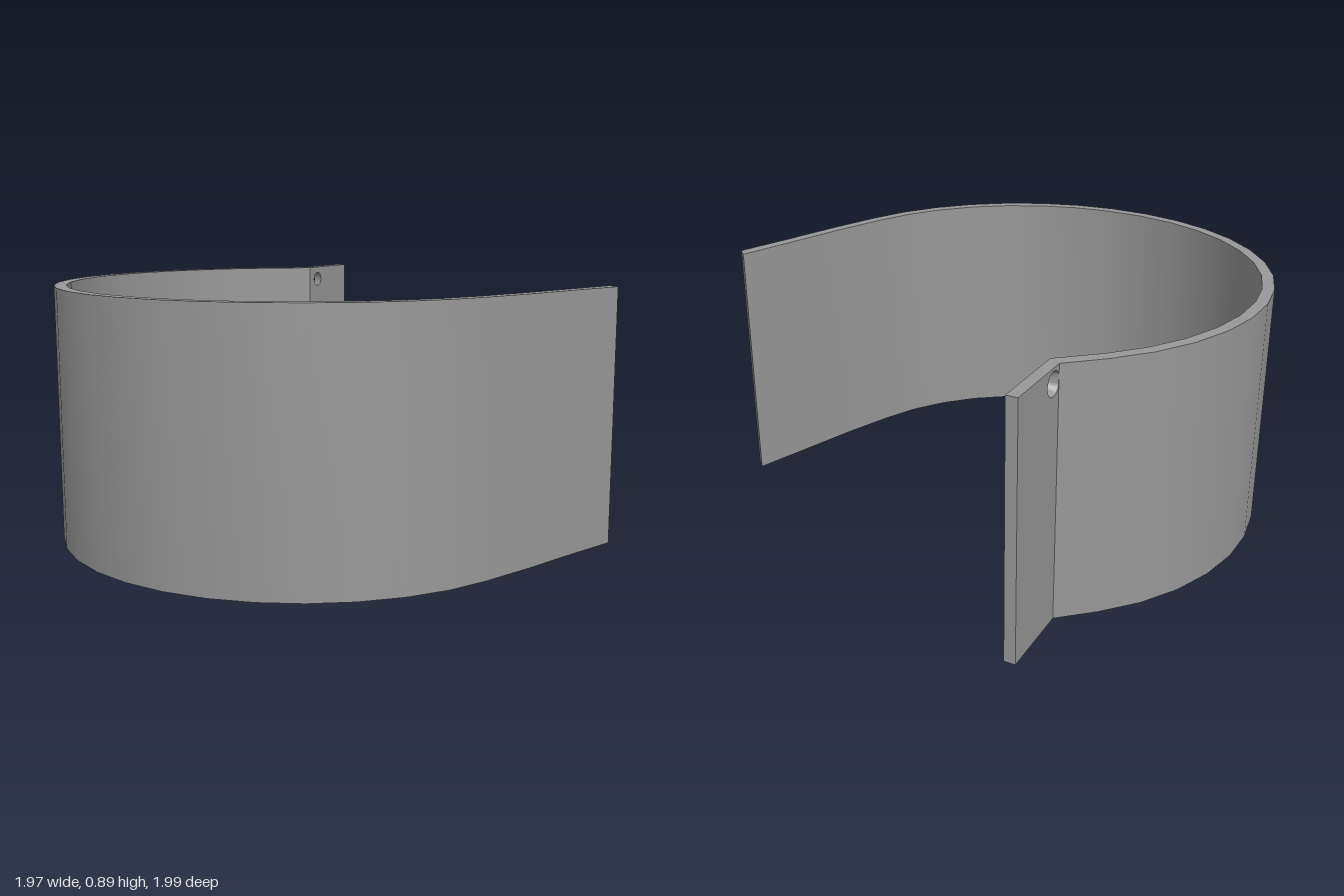
import * as THREE from 'three';
import { toCreasedNormals } from 'three/addons/utils/BufferGeometryUtils.js';

const HEIGHT = 0.895;
const THICK = 0.04;

export function createModel() {
  const group = new THREE.Group();
  const material = new THREE.MeshStandardMaterial({ color: 0x989898 });
  const add = (name, geometry) => {
    const mesh = new THREE.Mesh(toCreasedNormals(geometry, 0.35), material);
    mesh.name = name;
    group.add(mesh);
    return mesh;
  };

  // Curved band: a 22-step arc with a gently bowed free end (plan is x, z)
  const arc = (radius) => {
    const points = [];
    for (let i = 0; i < 22; i++) {
      const a = THREE.MathUtils.degToRad(31.4 + i * 9.91);
      points.push([-0.098 + radius * Math.cos(a), 0.108 + radius * Math.sin(a)]);
    }
    return points;
  };
  const outer = [[0.982, 0.022], [0.875, 0.203], [0.769, 0.392], ...arc(0.887), [-0.414, -0.732]];
  const inner = [[0.953, -0.02], [0.839, 0.182], [0.733, 0.371], ...arc(0.845), [-0.38, -0.7]];
  const plan = [...outer, ...inner.reverse()].map(([x, z]) => new THREE.Vector2(x, -z));
  const band = new THREE.ExtrudeGeometry(new THREE.Shape(plan), { depth: HEIGHT, bevelEnabled: false });
  band.rotateX(-Math.PI / 2);
  add('curvedBand', band);

  // Mounting flap with a screw hole, mitred where it meets the band
  const hole = { u: 0.063, y: 0.844, r: 0.028, rim: 0.041 };
  const mitre = 0.024;
  const shape = new THREE.Shape();
  shape.moveTo(0, 0).lineTo(0.298, 0).lineTo(0.298, HEIGHT).lineTo(0, HEIGHT).closePath();
  shape.holes.push(new THREE.Path().absarc(hole.u, hole.y, hole.r, 0, Math.PI * 2, true));
  const flap = new THREE.ExtrudeGeometry(shape, { depth: THICK, bevelEnabled: false, curveSegments: 24 });
  const p = flap.attributes.position;
  for (let i = 0; i < p.count; i++) {
    if (p.getZ(i) > THICK / 2) continue;
    const du = p.getX(i) - hole.u;
    const dy = p.getY(i) - hole.y;
    if (Math.hypot(du, dy) < hole.r * 1.1) {
      // widen the outer rim into a countersink, stopping at the bend
      const s = hole.rim / hole.r;
      p.setXY(i, Math.max(hole.u + du * s, mitre + 0.002), hole.y + dy * s);
    } else if (p.getX(i) < 0.001) {
      p.setX(i, mitre);
    }
  }
  flap.translate(0, 0, -THICK);
  const flapMesh = add('mountingFlap', flap);
  flapMesh.position.set(-0.38, 0, -0.7);
  flapMesh.rotation.y = Math.atan2(0.979, 0.206);

  return group;
}
